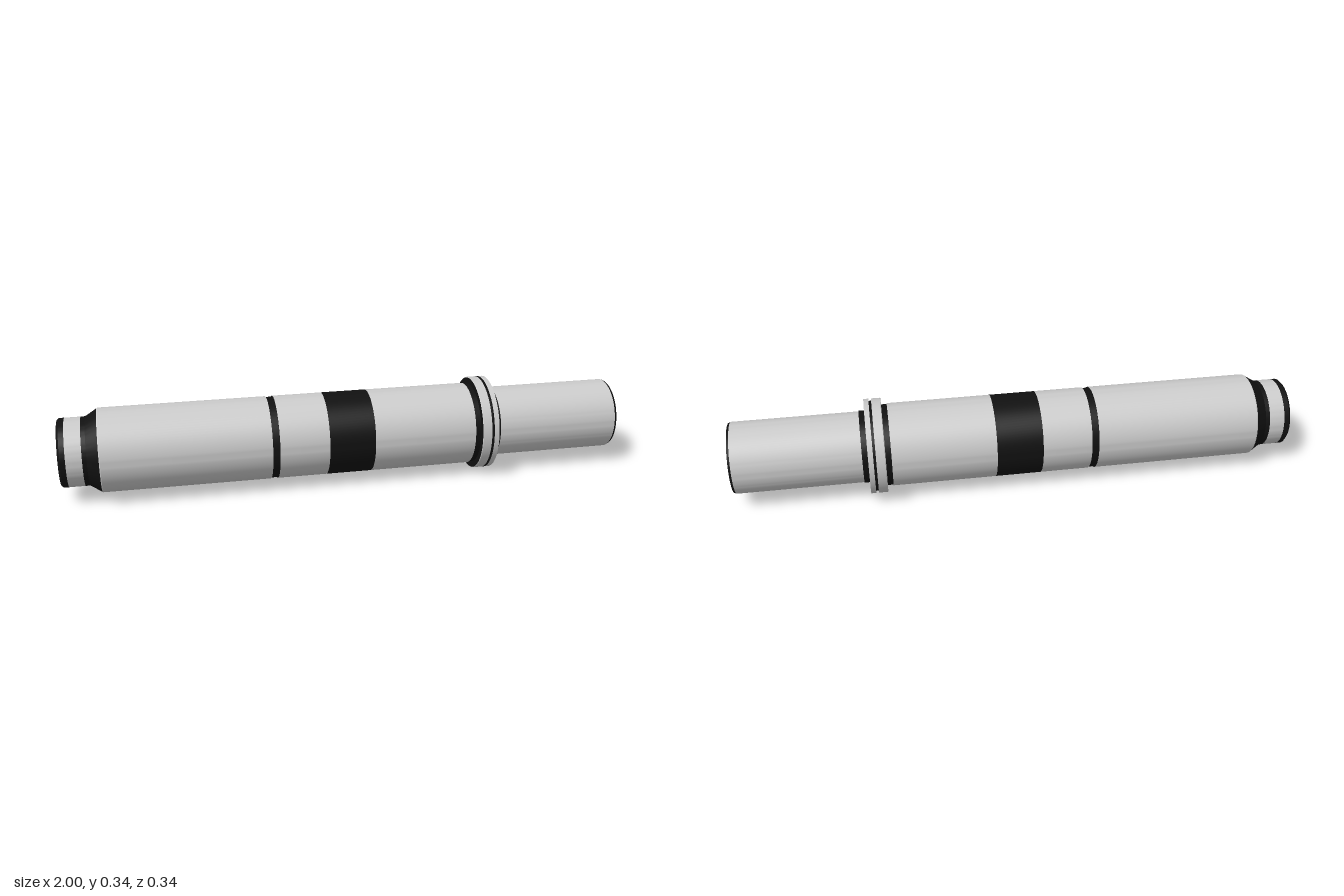
import * as THREE from 'three';
import { toCreasedNormals } from 'three/addons/utils/BufferGeometryUtils.js';

const AXIS_HEIGHT = 0.168;

export function createModel() {
  const group = new THREE.Group();
  group.name = 'cylindricalHandle';
  const grey = new THREE.MeshStandardMaterial({ color: 0xcccccc });
  const black = new THREE.MeshStandardMaterial({ color: 0x111111 });

  // Turned section along x; the profile is [x, radius] from the -x end to the +x end
  const turned = (name, material, profile) => {
    const points = profile.map(([x, r]) => new THREE.Vector2(r, x));
    const geometry = new THREE.LatheGeometry(points, 96).rotateZ(-Math.PI / 2);
    const mesh = new THREE.Mesh(toCreasedNormals(geometry, 0.4), material);
    mesh.name = name;
    mesh.position.y = AXIS_HEIGHT;
    group.add(mesh);
  };

  // Pommel end with its chamfered cap and flared neck
  turned('pommelCap', black, [[-1, 0], [-1, 0.113], [-0.993, 0.12], [-0.975, 0.12]]);
  turned('pommelBand', grey, [[-0.975, 0.12], [-0.92, 0.12]]);
  turned('pommelNeck', black, [[-0.92, 0.12], [-0.905, 0.12], [-0.865, 0.145]]);

  // Main grip, divided by dark rings
  turned('rearGrip', grey, [[-0.865, 0.145], [-0.862, 0.147], [-0.28, 0.147]]);
  turned('gripRing', black, [[-0.28, 0.147], [-0.28, 0.144], [-0.255, 0.144], [-0.255, 0.147]]);
  turned('middleGrip', grey, [[-0.255, 0.147], [-0.08, 0.147]]);
  turned('wideBand', black, [[-0.08, 0.147], [0.083, 0.147]]);
  turned('frontGrip', grey, [[0.083, 0.147], [0.45, 0.147]]);
  turned('collarSeat', black, [[0.45, 0.147], [0.45, 0.144], [0.47, 0.144], [0.47, 0.166]]);

  // Flanged collar: two rims either side of a groove
  turned('collarRearRim', grey, [[0.47, 0.166], [0.472, 0.168], [0.503, 0.168]]);
  turned('collarGroove', black, [[0.503, 0.168], [0.503, 0.16], [0.512, 0.16], [0.512, 0.168]]);
  turned('collarFrontRim', grey, [[0.512, 0.168], [0.53, 0.168]]);
  turned('collarFace', black, [[0.53, 0.168], [0.53, 0.128], [0.55, 0.128], [0.55, 0.126]]);

  // Narrow barrel and its end face with a stepped central bore
  turned('barrel', grey, [[0.55, 0.126], [0.992, 0.126]]);
  turned('barrelEnd', black, [
    [0.992, 0.126], [1, 0.122], [1, 0.038], [0.985, 0.034],
    [0.985, 0.028], [0.95, 0.028], [0.95, 0],
  ]);

  return group;
}
